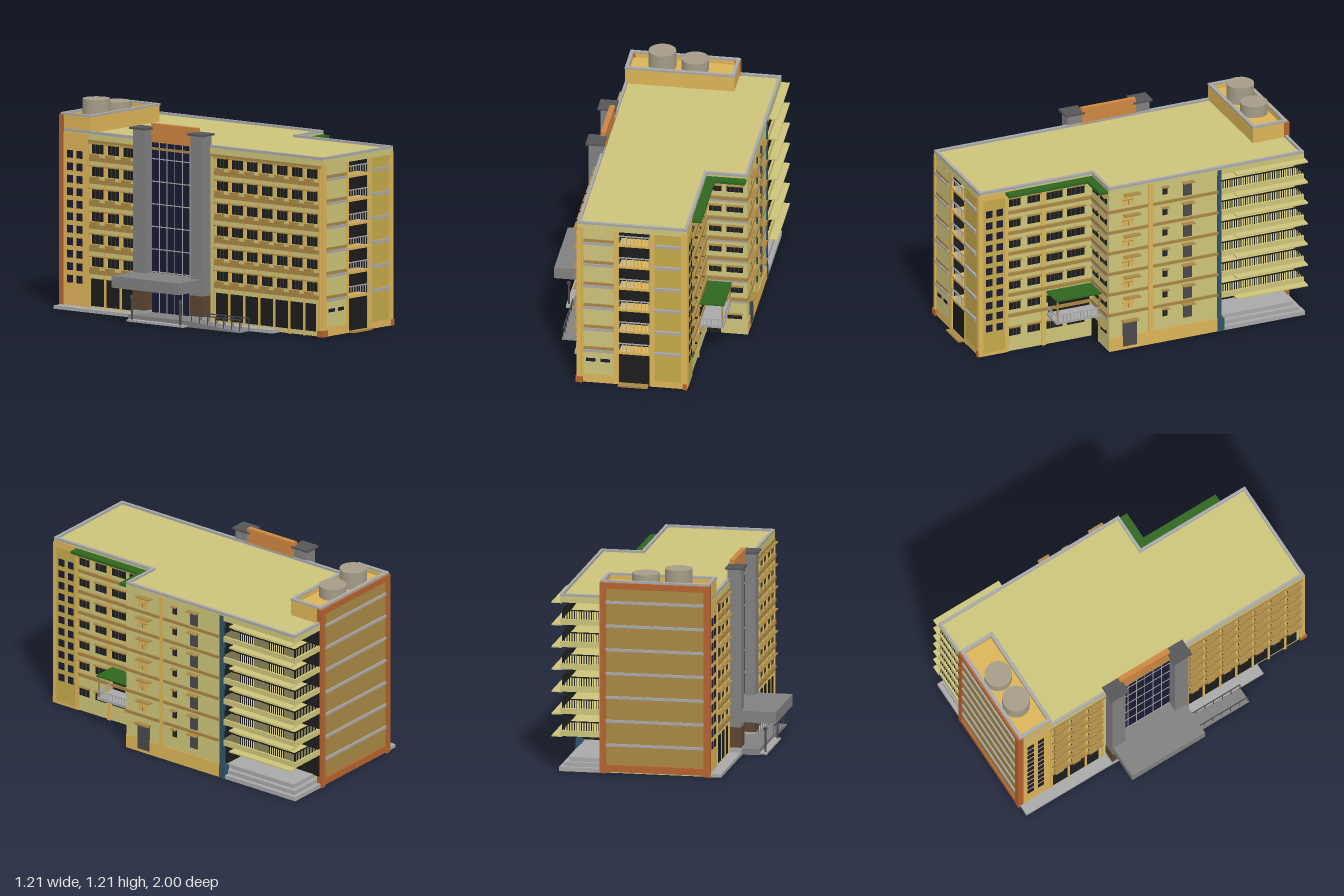
import * as THREE from 'three';
import { mergeGeometries } from 'three/addons/utils/BufferGeometryUtils.js';

const C = {
  wall: 0xccc47a, orange: 0xdcb458, ochre: 0xa98745, panel: 0xc4a94a, grey: 0xa8a8a8, stone: 0x808080,
  dark: 0x1c1c1c, navy: 0x1a1a34, green: 0x2e661e, brick: 0xb5622e, teal: 0x2c5468, tank: 0xa59c88,
  brown: 0x5e4530, sign: 0xcd8540, capGrey: 0x555558, louvre: 0x4a4a4c,
};

export function createModel() {
  const parts = new Map();
  const put = (name, color, geo) => {
    if (!parts.has(name)) parts.set(name, { color, geos: [] });
    parts.get(name).geos.push(geo.index ? geo.toNonIndexed() : geo);
  };
  const box = (name, color, x0, x1, y0, y1, z0, z1) =>
    put(name, color, new THREE.BoxGeometry(x1 - x0, y1 - y0, z1 - z0)
      .translate((x0 + x1) / 2, (y0 + y1) / 2, (z0 + z1) / 2));
  const cyl = (name, color, r, x, y0, y1, z, n = 8) =>
    put(name, color, new THREE.CylinderGeometry(r, r, y1 - y0, n).translate(x, (y0 + y1) / 2, z));

  // A floor plan given as [x, z] corners, raised from y0 to y1
  const plan = (name, color, pts, y0, y1, hole) => {
    const toV = ([x, z]) => new THREE.Vector2(x, -z);
    const shape = new THREE.Shape(pts.map(toV));
    if (hole) shape.holes.push(new THREE.Path(hole.map(toV)));
    put(name, color, new THREE.ExtrudeGeometry(shape, { depth: y1 - y0, bevelEnabled: false })
      .rotateX(-Math.PI / 2).translate(0, y0, 0));
  };

  // Box on a facade: u runs along the wall, d0..d1 is the distance out from it
  const face = (axis, p, s) => (name, color, u0, u1, y0, y1, d0, d1) => {
    const a = Math.min(p + s * d0, p + s * d1), b = Math.max(p + s * d0, p + s * d1);
    if (axis === 'x') box(name, color, a, b, y0, y1, u0, u1);
    else box(name, color, u0, u1, y0, y1, a, b);
  };
  const front = face('z', 0.955, 1), back = face('z', -0.985, -1), left = face('x', -0.33, -1);
  const wingFront = face('z', 0.25, 1), sideNear = face('x', 0.31, 1), sideFar = face('x', 0.55, 1);

  // Barred window with a hood above it
  const win = (on, u, y, w, h, hood = 0.018) => {
    on('windowPanes', C.dark, u - w / 2, u + w / 2, y - h / 2, y + h / 2, 0, 0.003);
    const n = Math.max(2, Math.round(w / 0.025));
    for (let i = 1; i < n; i++) {
      const c = u - w / 2 + (w * i) / n;
      on('windowBars', C.louvre, c - 0.0015, c + 0.0015, y - h / 2, y + h / 2, 0.003, 0.005);
    }
    on('windowHoods', C.ochre, u - w / 2 - 0.006, u + w / 2 + 0.006, y + h / 2 + 0.003, y + h / 2 + 0.008, 0, hood);
  };
  // Railing with evenly spaced posts
  const rail = (on, name, color, u0, u1, y0, y1, d, step = 0.022) => {
    on(name, color, u0, u1, y1 - 0.006, y1, d - 0.003, d + 0.003);
    const n = Math.round((u1 - u0) / step);
    for (let i = 0; i <= n; i++) {
      const c = u0 + ((u1 - u0) * i) / n;
      on(name, color, c - 0.002, c + 0.002, y0, y1, d - 0.002, d + 0.002);
    }
  };
  // Two columns of small square windows
  const stairWindows = (on, us) => {
    for (const u of us) for (let i = 0; i < 11; i++) {
      const y = 0.175 + 0.073 * i;
      on('stairWindows', C.navy, u - 0.02, u + 0.02, y - 0.022, y + 0.022, 0, 0.008);
    }
  };
  const bandY = k => 0.23 + 0.132 * k; // side floor bands
  const ledgeY = k => 0.22 + 0.141 * k; // front and back ledges

  // Main body with the front balcony slot and the rear corner left open
  plan('walls', C.wall, [[-0.33, 0.955], [-0.09, 0.955], [-0.09, 0.88], [0.09, 0.88], [0.09, 0.955], [0.31, 0.955],
    [0.31, 0.25], [0.55, 0.25], [0.55, -0.44], [0.31, -0.44], [0.31, -0.985], [-0.33, -0.985]], 0.002, 1.03);
  const roof = [[-0.332, 0.965], [0.312, 0.965], [0.312, 0.252], [0.552, 0.252], [0.552, -0.985], [-0.332, -0.985]];
  const roofIn = [[-0.315, 0.948], [0.295, 0.948], [0.295, 0.235], [0.535, 0.235], [0.535, -0.968], [-0.315, -0.968]];
  plan('roof', C.wall, roof, 1.0, 1.036);
  plan('parapet', C.grey, roof, 1.034, 1.05, roofIn);

  // Rooftop tank room and water tanks
  box('tankRoom', C.orange, -0.33, 0.31, 1.03, 1.105, -0.985, -0.77);
  const rect = (a, b, c, d) => [[a, d], [b, d], [b, c], [a, c]];
  plan('tankRoomParapet', C.orange, rect(-0.33, 0.31, -0.985, -0.77), 1.1, 1.13, rect(-0.312, 0.292, -0.967, -0.788));
  plan('tankRoomCoping', C.grey, rect(-0.333, 0.313, -0.988, -0.767), 1.13, 1.142, rect(-0.312, 0.292, -0.967, -0.788));
  cyl('waterTanks', C.tank, 0.08, -0.13, 1.1, 1.21, -0.885, 32);
  cyl('waterTanks', C.tank, 0.08, 0.063, 1.1, 1.175, -0.885, 32);

  // Front facade
  for (const [a, b] of [[-0.332, -0.09], [0.09, 0.312]]) front('frontFrame', C.orange, a, b, 0, 1.03, -0.002, 0.008);
  front('frontFrame', C.orange, -0.09, 0.09, 1.015, 1.03, -0.07, 0.008);
  front('frontLeftPanel', C.wall, -0.293, -0.122, 0.055, 0.995, 0, 0.01);
  front('frontRightPanel', C.panel, 0.12, 0.275, 0.04, 1.0, 0, 0.01);
  front('cornerPilasters', C.orange, 0.285, 0.312, 0, 1.02, 0, 0.015);
  front('cornerPilasters', C.orange, -0.332, -0.305, 0, 1.02, 0, 0.015);
  for (let k = 0; k < 6; k++) {
    const y = ledgeY(k);
    front('frontBands', C.ochre, -0.295, -0.12, y, y + 0.018, 0, 0.016);
    front('frontLedges', C.grey, -0.295, -0.12, y - 0.015, y, 0, 0.022);
    front('frontLedges', C.grey, 0.12, 0.275, y - 0.004, y + 0.012, 0, 0.022);
    front('frontBalconySlabs', C.orange, -0.09, 0.09, y - 0.02, y - 0.004, -0.075, 0.01);
    rail(front, 'frontBalconyRails', C.grey, -0.088, 0.088, y - 0.004, y + 0.05, 0.004);
  }
  for (const u of [-0.253, -0.168]) front('frontSmallWindows', C.navy, u - 0.027, u + 0.027, 0.14, 0.16, 0, 0.013);
  front('frontBalconyRecess', C.dark, -0.09, 0.09, 0.01, 1.015, -0.075, -0.07);
  for (const s of [-1, 1]) front('frontBalconyRecess', C.dark, s * 0.088 - 0.002, s * 0.088 + 0.002, 0.01, 1.015, -0.07, -0.004);
  front('frontDoor', C.dark, -0.086, 0.086, 0.01, 0.198, -0.07, 0);
  front('frontStep', C.ochre, -0.09, 0.085, 0, 0.01, 0, 0.042);
  for (const x of [-0.322, 0.308]) box('cornerBlocks', C.brick, x - 0.02, x + (x < 0 ? 0.022 : 0.004), 0, 0.037, 0.93, 0.975);

  // Right side of the front wing
  sideNear('cornerPilasters', C.orange, 0.78, 0.96, 0, 1.03, 0, 0.004);
  sideNear('stairPanel', C.panel, 0.805, 0.94, 0.02, 0.995, 0, 0.007);
  stairWindows(sideNear, [0.905, 0.838]);
  sideNear('cornerPilasters', C.orange, 0.545, 0.57, 0, 1.0, 0, 0.008);
  for (let k = -1; k < 6; k++) {
    const y = k < 0 ? 0.125 : bandY(k) + 0.062;
    for (const [u, w] of [[0.74, 0.07], [0.62, 0.08], [0.49, 0.1], [0.355, 0.11]]) win(sideNear, u, y, w, 0.05);
    if (k >= 0) {
      sideNear('floorBands', C.ochre, 0.25, 0.78, bandY(k) - 0.008, bandY(k) + 0.012, 0, 0.012);
      wingFront('floorBands', C.ochre, 0.31, 0.55, bandY(k) - 0.008, bandY(k) + 0.012, 0, 0.012);
      wingFront('floorLedges', C.grey, 0.31, 0.55, bandY(k) - 0.022, bandY(k) - 0.008, 0, 0.008);
      for (const [u, w] of [[0.362, 0.075], [0.477, 0.095]]) win(wingFront, u, y, w, 0.038);
    }
  }
  win(wingFront, 0.477, 0.115, 0.085, 0.028);
  wingFront('wingDoor', C.dark, 0.315, 0.397, 0.005, 0.13, 0, 0.006);

  // Green eaves and porch in the inner corner
  plan('greenEaves', C.green, [[0.31, 0.8], [0.368, 0.8], [0.368, 0.305], [0.545, 0.305], [0.545, 0.25], [0.31, 0.25]], 1.01, 1.026);
  box('porchRoof', C.green, 0.31, 0.46, 0.333, 0.342, 0.25, 0.54);
  box('porchFloor', C.grey, 0.31, 0.455, 0.187, 0.203, 0.25, 0.54);
  box('porchDoors', C.dark, 0.31, 0.316, 0.205, 0.31, 0.27, 0.53);
  for (const z of [0.265, 0.53]) box('porchPosts', C.ochre, 0.444, 0.452, 0.2, 0.335, z - 0.004, z + 0.004);
  rail(face('x', 0.45, 1), 'porchRails', C.grey, 0.255, 0.535, 0.2, 0.245, 0);
  rail(face('z', 0.535, 1), 'porchRails', C.grey, 0.315, 0.45, 0.2, 0.245, 0);

  // Right side of the wing
  sideFar('wingBase', C.orange, -0.44, 0.25, 0, 0.085, 0, 0.004);
  sideFar('cornerPilasters', C.orange, -0.025, 0.002, 0.08, 1.03, 0, 0.008);
  sideFar('sideDoor', C.louvre, 0.077, 0.163, 0.02, 0.175, 0, 0.008);
  sideFar('windowHoods', C.ochre, 0.07, 0.17, 0.178, 0.188, 0, 0.03);
  for (let k = -1; k < 6; k++) {
    const y = k < 0 ? 0.11 : bandY(k);
    if (k >= 0) {
      sideFar('floorBands', C.ochre, -0.44, 0.25, y - 0.006, y + 0.012, 0, 0.007);
      sideFar('sideWindowFrames', C.orange, 0.096, 0.164, y + 0.03, y + 0.095, 0, 0.004);
      win(sideFar, 0.13, y + 0.045, 0.06, 0.025, 0.004);
      sideFar('windowHoods', C.ochre, 0.06, 0.16, y + 0.098, y + 0.104, 0, 0.035);
    }
    win(sideFar, -0.105, y + 0.075, 0.03, 0.045, 0.024);
    sideFar('louvres', C.louvre, -0.275, -0.22, y + 0.02, y + 0.105, 0, 0.005);
    sideFar('windowHoods', C.ochre, -0.285, -0.21, y + 0.107, y + 0.112, 0, 0.035);
  }

  // Open rear corner: dark walls, balcony slabs, rails and steps
  box('balconyWalls', C.dark, 0.31, 0.318, 0.07, 1.0, -0.98, -0.44);
  box('balconyWalls', C.dark, 0.31, 0.54, 0.07, 1.0, -0.448, -0.44);
  box('tealPillar', C.teal, 0.53, 0.556, 0, 1.03, -0.462, -0.436);
  box('tealPillar', C.teal, 0.52, 0.558, 0, 0.08, -0.478, -0.436);
  for (let k = 0; k < 7; k++) {
    const y = 0.215 + 0.132 * k;
    box('balconySlabs', C.wall, 0.31, 0.55, y - 0.008, y + 0.026, -0.985, -0.445);
    box('balconySlabs', C.wall, 0.54, 0.6, y - 0.012, y - 0.004, -0.99, -0.54);
    if (k === 6) continue;
    rail(sideFar, 'balconyRails', C.dark, -0.975, -0.465, y + 0.025, y + 0.08, -0.012, 0.014);
    rail(back, 'balconyRails', C.dark, 0.325, 0.54, y + 0.025, y + 0.08, -0.012, 0.014);
  }
  for (let i = 0; i < 3; i++)
    box('rearSteps', C.grey, 0.3, 0.555 - i * 0.025, i * 0.025, (i + 1) * 0.025, -0.99 + i * 0.025, -0.46);

  // Back wall
  back('backPanel', C.ochre, -0.33, 0.31, 0.02, 1.12, 0, 0.003);
  for (const [a, b] of [[-0.336, -0.3], [0.28, 0.314]]) back('backFrame', C.brick, a, b, 0, 1.13, -0.02, 0.014);
  back('backFrame', C.brick, -0.336, 0.314, 1.095, 1.13, -0.004, 0.014);
  back('backFrame', C.brick, -0.336, 0.314, 0.01, 0.05, -0.004, 0.014);
  for (let k = 0; k < 7; k++) back('backLedges', C.grey, -0.3, 0.28, ledgeY(k) - 0.06, ledgeY(k) - 0.044, 0, 0.012);

  // Left facade
  left('leftStairPanel', C.orange, -0.975, -0.78, 0.02, 1.03, 0, 0.004);
  stairWindows(left, [-0.915, -0.845]);
  left('floorBands', C.ochre, -0.78, 0.95, 0.985, 1.0, 0, 0.01);
  for (const [a, b, n] of [[-0.77, -0.42, 3], [0.16, 0.94, 7]]) {
    const step = (b - a) / n;
    left('groundGlazing', C.dark, a + 0.01, b - 0.03, 0.03, 0.19, 0, 0.004);
    for (let i = 0; i <= n; i++) left('leftPilasters', C.orange, a + i * step - 0.007, a + i * step + 0.007, 0, 0.98, 0, 0.009);
    for (let k = 0; k < 6; k++) {
      left('floorBands', C.ochre, a, b, bandY(k) - 0.012, bandY(k) + 0.012, 0, 0.012);
      for (let i = 0; i < n; i++) {
        const u = a + (i + 0.5) * step;
        win(left, u, bandY(k) + 0.06, step * 0.7, 0.055, 0.03);
        left('windowBoxes', C.ochre, u - step * 0.36, u + step * 0.1, bandY(k) + 0.012, bandY(k) + 0.03, 0, 0.026);
      }
    }
  }

  // Entrance towers, glazing between them and the header panel
  for (const z of [-0.35, 0.08]) {
    box('entranceTowers', C.stone, -0.4, -0.32, 0.17, 1.105, z - 0.045, z + 0.045);
    box('towerBases', C.brown, -0.402, -0.325, 0.05, 0.17, z - 0.047, z + 0.047);
    box('towerFootings', C.grey, -0.402, -0.325, 0, 0.05, z - 0.047, z + 0.047);
    box('towerCaps', C.capGrey, -0.416, -0.31, 1.105, 1.117, z - 0.06, z + 0.06);
  }
  left('entranceGlazing', C.navy, -0.305, 0.035, 0.03, 1.03, 0, 0.006);
  for (let k = 0; k < 6; k++) left('glazingBars', C.grey, -0.305, 0.035, bandY(k) + 0.04, bandY(k) + 0.046, 0, 0.009);
  for (let i = 1; i < 6; i++) left('glazingBars', C.grey, -0.307 + i * 0.057, -0.303 + i * 0.057, 0.03, 1.03, 0, 0.009);
  box('headerPanel', C.sign, -0.345, -0.315, 1.03, 1.14, -0.305, 0.035);

  // Entrance canopy, plinth, platform and ramp
  box('canopy', C.stone, -0.605, -0.33, 0.2, 0.268, -0.39, 0.11);
  box('plinth', C.grey, -0.4, -0.33, 0, 0.02, -0.985, 0.64);
  box('entrancePlatform', C.stone, -0.5, -0.33, 0, 0.035, -0.35, 0.11);
  box('entranceSteps', C.grey, -0.54, -0.5, 0, 0.012, -0.33, 0.09);
  const ramp = new THREE.Shape([[-0.48, 0], [-0.11, 0], [-0.11, 0.035], [-0.48, 0.006]].map(p => new THREE.Vector2(...p)));
  put('ramp', C.stone, new THREE.ExtrudeGeometry(ramp, { depth: 0.1, bevelEnabled: false }).rotateY(Math.PI / 2).translate(-0.5, 0, 0));
  for (const x of [-0.493, -0.405]) rail(face('x', x, 1), 'rampRails', C.louvre, 0.115, 0.475, 0.005, 0.078, 0, 0.06);
  for (const z of [-0.3, 0.06]) {
    cyl('lampPosts', C.louvre, 0.006, -0.527, 0, 0.15, z);
    cyl('lampPosts', C.louvre, 0.011, -0.527, 0.14, 0.155, z);
  }

  const model = new THREE.Group();
  for (const [name, { color, geos }] of parts) {
    const mesh = new THREE.Mesh(mergeGeometries(geos), new THREE.MeshStandardMaterial({ color }));
    mesh.name = name;
    model.add(mesh);
  }
  return model;
}
